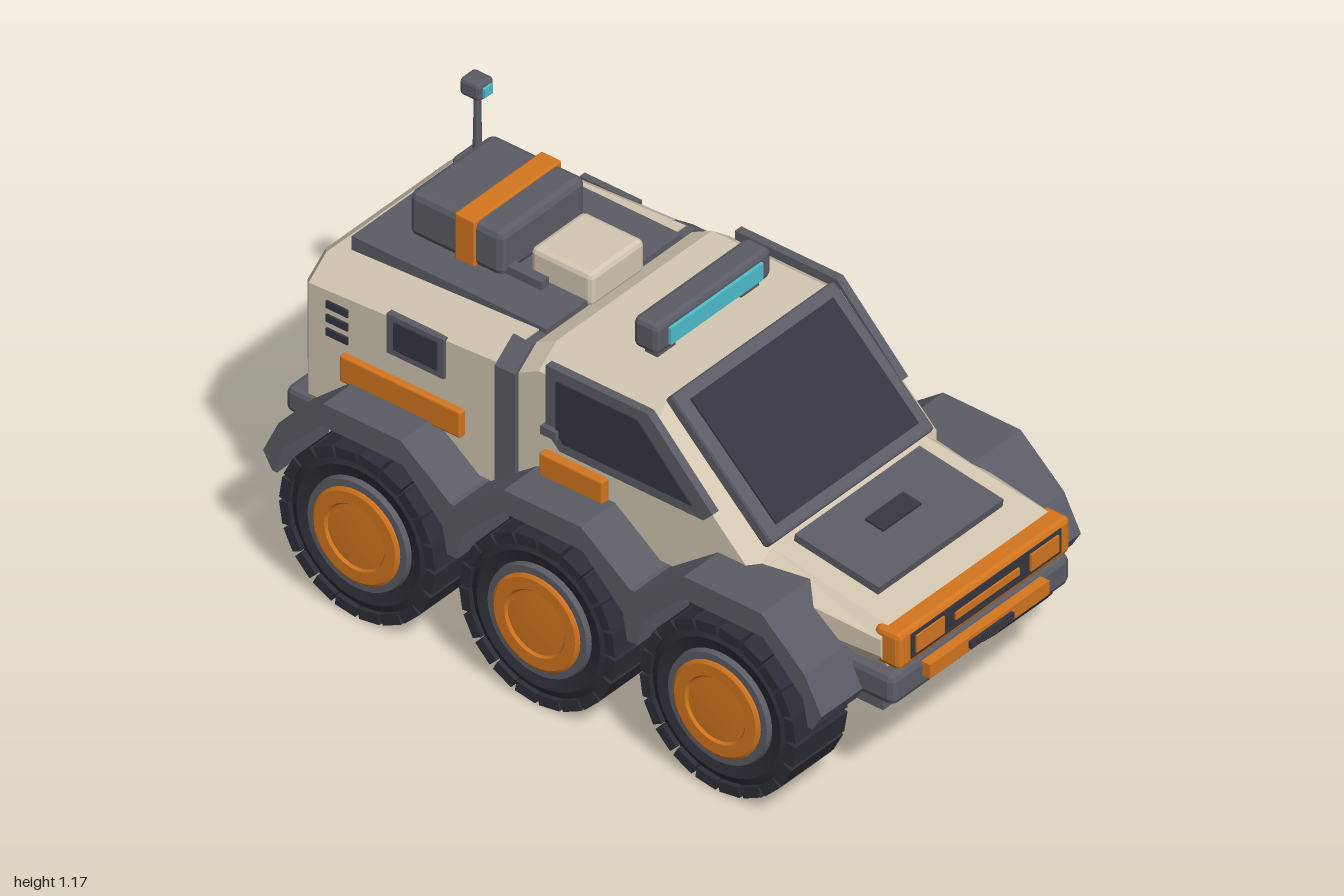
import * as THREE from 'three';
import { toCreasedNormals } from 'three/addons/utils/BufferGeometryUtils.js';
import { RoundedBoxGeometry } from 'three/addons/geometries/RoundedBoxGeometry.js';

const mat = (name, color) => Object.assign(new THREE.MeshStandardMaterial({ color }), { name });

export function createModel() {
  const hullPaint = mat('hull beige', 0xd4c8b2);
  const gray = mat('trim gray', 0x5c5c66);
  const dark = mat('dark glass', 0x363642);
  const rubber = mat('tyre rubber', 0x2d2d37);
  const orange = mat('accent orange', 0xd4761f);
  const cyan = mat('lamp cyan', 0x4fc0cf);
  const root = new THREE.Group();

  const add = (name, geo, material, parent = root) => {
    const m = new THREE.Mesh(geo, material);
    m.name = name;
    parent.add(m);
    return m;
  };
  const flat = (geo) => {
    const g = geo.index ? geo.toNonIndexed() : geo;
    g.computeVertexNormals();
    return g;
  };
  // Box given by its min/max extents, optionally chamfered
  const box = (name, material, [x0, x1], [y0, y1], [z0, z1], bevel = 0) => {
    const s = [x1 - x0, y1 - y0, z1 - z0];
    const geo = bevel ? flat(new RoundedBoxGeometry(...s, 1, bevel)) : new THREE.BoxGeometry(...s);
    const m = add(name, geo, material);
    m.position.set((x0 + x1) / 2, (y0 + y1) / 2, (z0 + z1) / 2);
    return m;
  };
  const pairBox = (name, material, xs, ys, [z0, z1], bevel = 0) => {
    box(name + 'Left', material, xs, ys, [z0, z1], bevel);
    box(name + 'Right', material, xs, ys, [-z1, -z0], bevel);
  };
  // Flat side outline extruded on both flanks between z0 and z1
  const pairPlate = (name, material, pts, z0, z1, bevel = 0) => {
    const shape = new THREE.Shape(pts.map((p) => new THREE.Vector2(...p)));
    const geo = new THREE.ExtrudeGeometry(shape, {
      depth: z1 - z0 - 2 * bevel, bevelEnabled: bevel > 0, bevelSize: bevel,
      bevelThickness: bevel, bevelOffset: -bevel, bevelSegments: 1,
    });
    add(name + 'Left', geo, material).position.z = z0 + bevel;
    add(name + 'Right', geo, material).position.z = -z1 + bevel;
  };
  // Lofted hull; each station is [x, mirrored half section of [z, y] from bottom to top]
  const loft = (name, material, stations) => {
    const rings = stations.map(([x, half]) => [
      ...half.map(([z, y]) => [x, y, -z]),
      ...half.slice().reverse().map(([z, y]) => [x, y, z]),
    ]);
    const out = [];
    const n = rings[0].length;
    for (let s = 0; s < rings.length - 1; s++) {
      const a = rings[s], b = rings[s + 1];
      for (let i = 0; i < n; i++) {
        const j = (i + 1) % n;
        out.push(...a[i], ...a[j], ...b[j], ...a[i], ...b[j], ...b[i]);
      }
    }
    const first = rings[0], last = rings[rings.length - 1];
    for (let i = 1; i < n - 1; i++) {
      out.push(...first[0], ...first[i + 1], ...first[i]);
      out.push(...last[0], ...last[i], ...last[i + 1]);
    }
    const geo = new THREE.BufferGeometry();
    geo.setAttribute('position', new THREE.Float32BufferAttribute(out, 3));
    geo.computeVertexNormals();
    return add(name, geo, material);
  };
  const section = (half, bottom, top, inset = 0.07, drop = 0.055) =>
    [[half - 0.03, bottom], [half, bottom + 0.05], [half, top - drop], [half - inset, top]];

  // Main bodies
  loft('rearModule', hullPaint, [
    [-0.96, section(0.31, 0.47, 0.82)],
    [-0.9, section(0.38, 0.43, 0.875)],
    [-0.25, section(0.38, 0.43, 0.91)],
  ]);
  loft('cab', hullPaint, [
    [-0.27, section(0.375, 0.43, 0.89)],
    [-0.23, section(0.375, 0.43, 0.9)],
    [-0.16, section(0.375, 0.43, 0.937)],
    [0.21, section(0.375, 0.43, 0.937)],
    [0.535, section(0.375, 0.43, 0.62)],
    [0.92, section(0.345, 0.43, 0.56, 0.03, 0.03)],
  ]);
  // Raised rib between the two modules
  loft('seamRib', gray, [-0.29, -0.225].map((x) => [x, section(0.39, 0.43, 0.905)]));

  // Chassis
  loft('belly', rubber, [[-0.9, 0.33], [-0.8, 0.245], [0.72, 0.245], [0.88, 0.33]]
    .map(([x, y]) => [x, [[0.255, y], [0.3, y + 0.06], [0.3, 0.45]]]));
  box('chassisSill', gray, [-0.92, 0.88], [0.34, 0.46], [-0.315, 0.315]);

  // Wheels, axles and fenders
  const wheelX = [-0.62, -0.038, 0.545];
  const lathe = (pts, seg, crease) =>
    toCreasedNormals(new THREE.LatheGeometry(pts.map((p) => new THREE.Vector2(...p)), seg), crease);
  const tyreGeo = lathe([[0.15, 0.345], [0.2, 0.33], [0.232, 0.345], [0.238, 0.37],
    [0.238, 0.485], [0.232, 0.51], [0.2, 0.525], [0.15, 0.51]], 40, 0.3);
  const rimGeo = lathe([[0, 0.335], [0.16, 0.325], [0.165, 0.345], [0.165, 0.51], [0.16, 0.53], [0.13, 0.53]], 40, 0.5);
  const hubGeo = lathe([[0, 0.335], [0.1, 0.335], [0.1, 0.315], [0.14, 0.315], [0.14, 0.535],
    [0.132, 0.54], [0.098, 0.54], [0.092, 0.533], [0, 0.538]], 40, 0.4);
  const lugGeo = new THREE.BoxGeometry(0.03, 0.205, 0.066);
  for (const x of wheelX) {
    for (const side of [1, -1]) {
      const wheel = new THREE.Group();
      wheel.name = 'wheel';
      wheel.position.set(x, 0.252, 0);
      wheel.rotation.x = side * Math.PI / 2;
      add('tyre', tyreGeo, rubber, wheel);
      add('rim', rimGeo, gray, wheel);
      add('hub', hubGeo, orange, wheel);
      for (let i = 0; i < 20; i++) {
        const a = (i + 0.5) * Math.PI / 10;
        const lug = add('treadLug', lugGeo, rubber, wheel);
        lug.position.set(Math.cos(a) * 0.235, 0.4275, Math.sin(a) * 0.235);
        lug.rotation.y = -a;
      }
      root.add(wheel);
    }
    const axle = add('axle', new THREE.CylinderGeometry(0.046, 0.046, 0.66, 16), gray);
    axle.position.set(x, 0.252, 0);
    axle.rotation.x = Math.PI / 2;
  }
  const fender = [[-0.91, 0.31], [-0.94, 0.36], [-0.89, 0.465]];
  wheelX.forEach((x, i) => {
    fender.push([x - 0.125, 0.59], [x + 0.125, 0.59]);
    if (i < 2) fender.push([x + 0.285, 0.47], [x + 0.298, 0.47]);
  });
  fender.push([0.81, 0.465], [0.865, 0.36], [0.835, 0.31]);
  const arch = [[0.275, 0.31], [0.26, 0.39], [0.13, 0.52], [-0.13, 0.52], [-0.26, 0.39], [-0.275, 0.31]];
  for (const x of [...wheelX].reverse()) fender.push(...arch.map(([dx, y]) => [x + dx, y]));
  pairPlate('fender', gray, fender.reverse(), 0.31, 0.51);

  // Windshield and hood
  const tilted = (name, material, size, x, y, angle, bevel = 0) => {
    const geo = bevel ? flat(new RoundedBoxGeometry(...size, 1, bevel)) : new THREE.BoxGeometry(...size);
    const m = add(name, geo, material);
    m.position.set(x, y, 0);
    m.rotation.z = angle;
  };
  tilted('windshieldFrame', gray, [0.45, 0.045, 0.64], 0.374, 0.784, -0.754, 0.01);
  tilted('windshield', dark, [0.38, 0.008, 0.56], 0.39, 0.802, -0.754);
  tilted('hoodPanel', gray, [0.275, 0.03, 0.49], 0.695, 0.603, -0.15);
  tilted('hoodVent', dark, [0.06, 0.009, 0.15], 0.677, 0.623, -0.15);

  // Side windows, handles, panels and vents
  pairPlate('cabWindowFrame', gray, [[-0.13, 0.72], [-0.085, 0.675], [0.38, 0.675], [0.41, 0.705],
    [0.2, 0.92], [-0.13, 0.92]], 0.36, 0.385);
  pairPlate('cabWindow', dark, [[-0.095, 0.73], [-0.07, 0.705], [0.345, 0.705], [0.17, 0.888], [-0.095, 0.888]], 0.38, 0.389);
  pairBox('doorHandle', gray, [-0.135, -0.085], [0.715, 0.74], [0.38, 0.4]);
  pairBox('rearWindowFrame', gray, [-0.64, -0.455], [0.73, 0.85], [0.37, 0.39]);
  pairBox('rearWindow', dark, [-0.615, -0.475], [0.75, 0.835], [0.385, 0.394]);
  pairBox('rearSidePanel', orange, [-0.785, -0.395], [0.58, 0.66], [0.37, 0.4], 0.005);
  pairBox('cabSidePanel', orange, [-0.14, 0.065], [0.585, 0.655], [0.37, 0.4], 0.005);
  for (const y of [0.7, 0.742, 0.784]) pairBox('sideVent', dark, [-0.84, -0.77], [y - 0.011, y + 0.011], [0.375, 0.386]);

  // Nose
  box('grilleFrame', orange, [0.89, 0.975], [0.452, 0.56], [-0.337, 0.337], 0.014);
  box('grille', dark, [0.97, 0.979], [0.472, 0.546], [-0.295, 0.295]);
  box('grilleBar', orange, [0.975, 0.984], [0.5, 0.522], [-0.125, 0.125]);
  pairBox('headlamp', orange, [0.975, 0.984], [0.485, 0.536], [0.17, 0.28]);
  box('frontBumper', gray, [0.8, 0.965], [0.342, 0.435], [-0.35, 0.35], 0.02);
  box('frontSkid', gray, [0.74, 0.92], [0.31, 0.36], [-0.335, 0.335]);
  box('bumperPlate', orange, [0.95, 0.99], [0.383, 0.425], [-0.235, 0.235]);
  box('bumperSlot', dark, [0.985, 1], [0.395, 0.415], [-0.085, 0.085]);

  // Tail
  box('rearBumper', gray, [-1, -0.9], [0.365, 0.44], [-0.35, 0.35], 0.015);
  pairBox('tailLamp', orange, [-0.973, -0.93], [0.53, 0.572], [0.2, 0.285]);

  // Roof equipment
  box('roofDeck', gray, [-0.855, -0.225], [0.86, 0.92], [-0.265, 0.265]);
  box('cargoPack', gray, [-0.755, -0.45], [0.915, 1.05], [-0.165, 0.165], 0.02);
  box('cargoStrap', orange, [-0.6, -0.535], [0.915, 1.056], [-0.172, 0.172], 0.005);
  pairBox('roofRail', gray, [-0.46, -0.34], [0.915, 0.945], [0.115, 0.145]);
  box('roofCrate', hullPaint, [-0.41, -0.21], [0.9, 1], [-0.105, 0.105], 0.015);
  box('lightBar', gray, [0.02, 0.1], [0.96, 1.05], [-0.225, 0.225], 0.015);
  box('lightBarLens', cyan, [0.1, 0.109], [0.978, 1.028], [-0.182, 0.182]);
  pairBox('lightBarFoot', gray, [0.04, 0.08], [0.93, 0.97], [0.13, 0.2]);

  // Antenna
  box('antennaBase', gray, [-0.87, -0.775], [0.87, 0.928], [-0.245, -0.145], 0.01);
  const mast = add('antennaMast', new THREE.CylinderGeometry(0.009, 0.013, 0.21, 8), gray);
  mast.position.set(-0.82, 1.025, -0.187);
  box('antennaHead', gray, [-0.855, -0.79], [1.122, 1.173], [-0.217, -0.157], 0.01);
  box('antennaLens', cyan, [-0.79, -0.783], [1.133, 1.161], [-0.203, -0.171]);
  return root;
}
